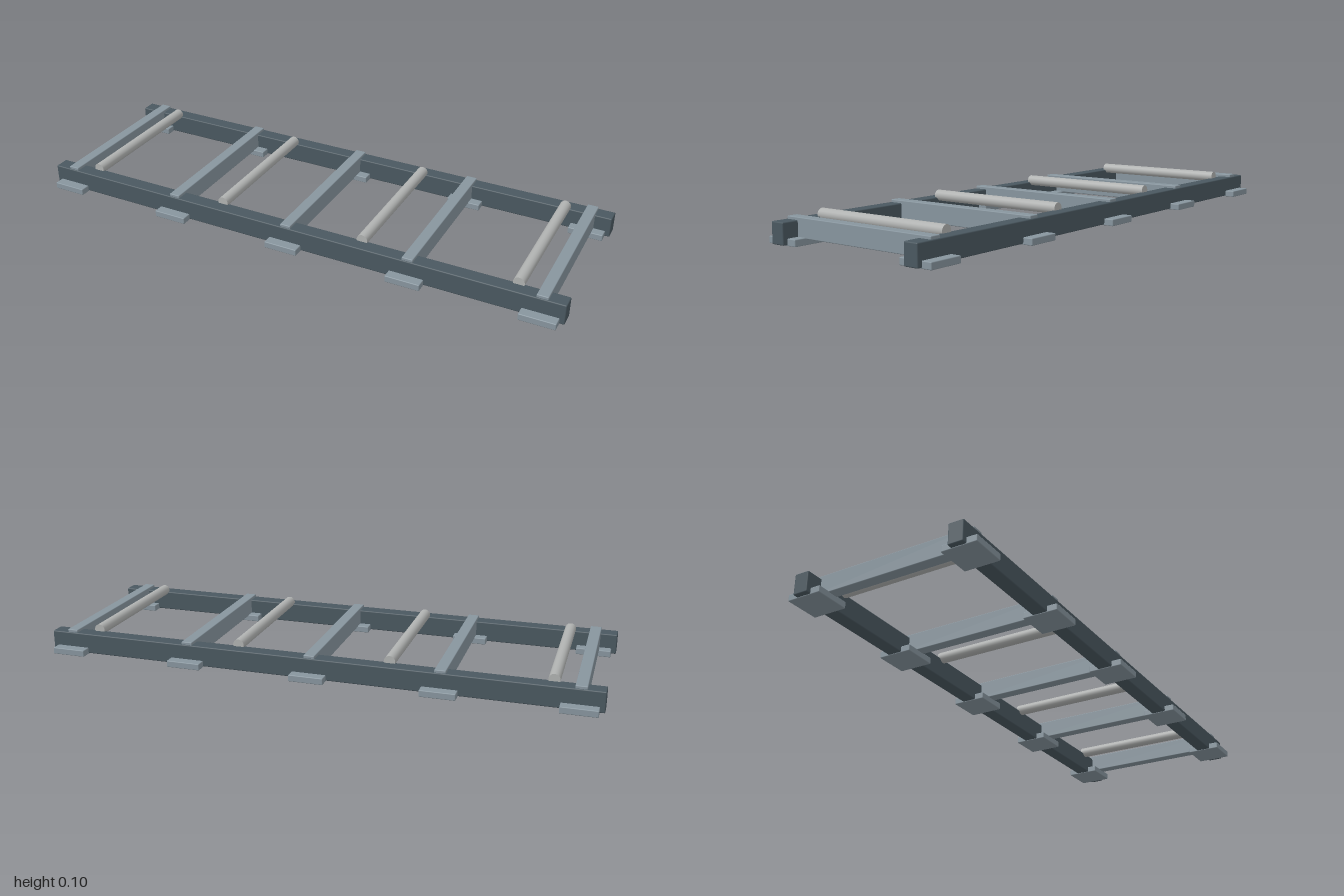
import * as THREE from 'three';
import { RoundedBoxGeometry } from 'three/addons/geometries/RoundedBoxGeometry.js';

export function createModel() {
  const group = new THREE.Group();
  const material = (name, color) => {
    const m = new THREE.MeshStandardMaterial({ color });
    m.name = name;
    return m;
  };
  const darkSteel = material('darkSteel', 0x4a5860);
  const lightSteel = material('lightSteel', 0x87959e);
  const rollerMetal = material('rollerMetal', 0xb0b2b1);

  const add = (name, geometry, mat, x, y, z) => {
    const mesh = new THREE.Mesh(geometry, mat);
    mesh.name = name;
    mesh.position.set(x, y, z);
    group.add(mesh);
    return mesh;
  };

  // Slightly softened bars, shared by repeated parts
  const railShape = new RoundedBoxGeometry(2, 0.074, 0.054, 2, 0.004);
  const beamShape = new RoundedBoxGeometry(0.04, 0.067, 0.62, 2, 0.003);
  const padShape = new RoundedBoxGeometry(0.125, 0.024, 0.125, 2, 0.003);
  const rollerShape = new THREE.CylinderGeometry(0.02, 0.02, 0.54, 20);
  rollerShape.rotateX(Math.PI / 2);

  // Long side rails
  for (const side of [1, -1]) {
    add(side > 0 ? 'frontRail' : 'backRail', railShape, darkSteel, 0, 0.04, side * 0.287);
  }

  // Cross beams, each with a foot pad under both rails
  for (const x of [-0.92, -0.46, 0, 0.46, 0.92]) {
    add('crossBeam', beamShape, lightSteel, x, 0.0535, 0);
    for (const side of [1, -1]) add('footPad', padShape, lightSteel, x, 0.012, side * 0.2875);
  }

  // Rollers between the rails
  for (const x of [-0.83, -0.277, 0.277, 0.83]) {
    add('roller', rollerShape, rollerMetal, x, 0.083, 0);
  }

  return group;
}
